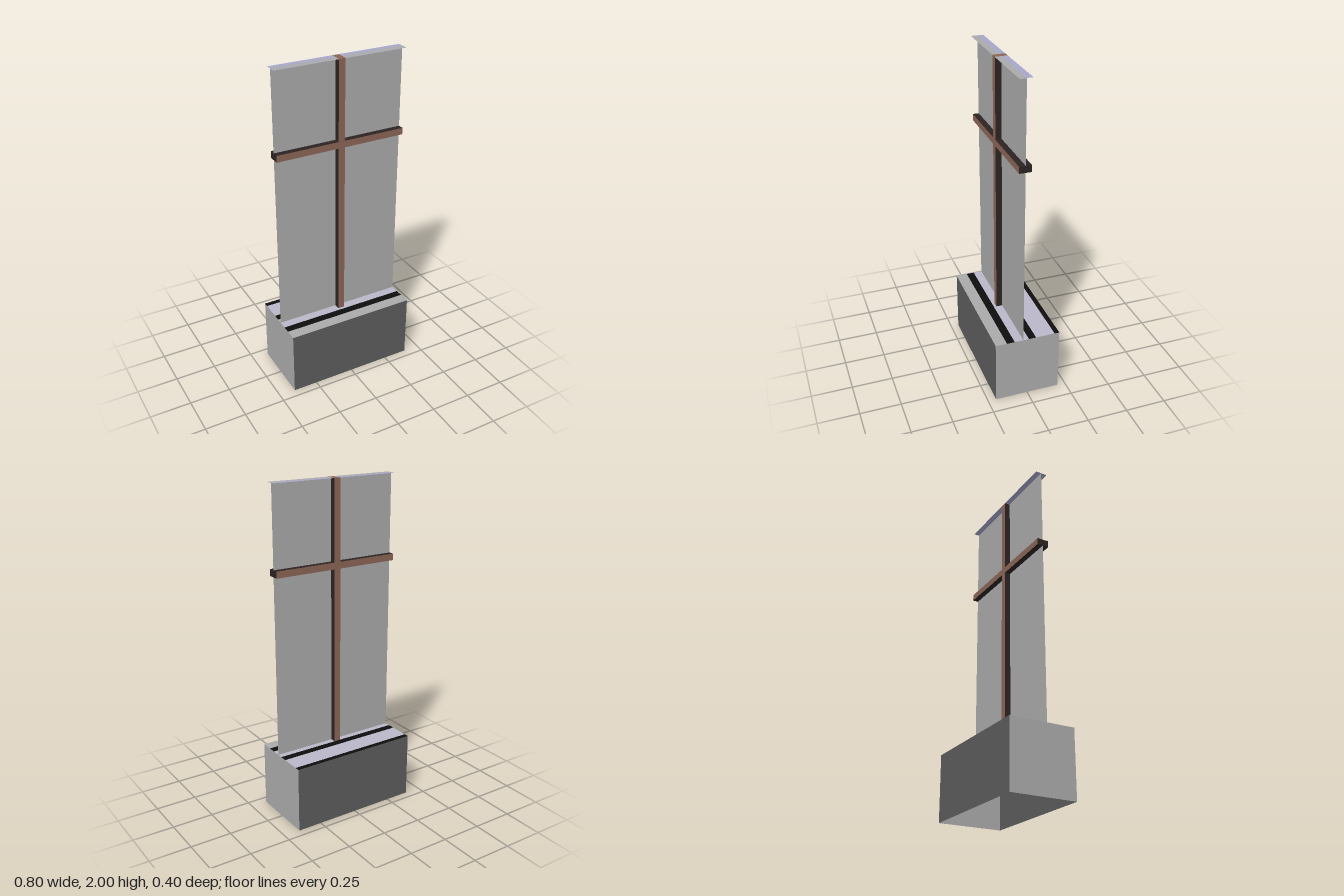
import * as THREE from 'three';

const mat = (name, color, side = THREE.FrontSide) => {
  const m = new THREE.MeshStandardMaterial({ color, side });
  m.name = name;
  return m;
};

export function createModel() {
  const wall = mat('dark grey', 0x5c5c5c, THREE.DoubleSide);
  const grey = mat('light grey', 0xa9a9a9, THREE.DoubleSide);
  const lilac = mat('pale lilac', 0xb8b6c8, THREE.DoubleSide);
  const violet = mat('soft violet', 0xa6a6ca, THREE.DoubleSide);
  const black = mat('black', 0x0d0d0d, THREE.DoubleSide);
  const wood = mat('brown', 0x8b6455);
  const dark = mat('dark brown', 0x2a2322);

  const model = new THREE.Group();
  model.name = 'crossPanelOnPlinth';
  const add = (name, geometry, material, x, y, z, parent = model) => {
    const m = new THREE.Mesh(geometry, material);
    m.name = name;
    m.position.set(x, y, z);
    parent.add(m);
    return m;
  };
  // Horizontal sheet facing up, between two x and two z limits
  const sheet = (name, x0, x1, z0, z1, y, material, parent) =>
    add(name, new THREE.PlaneGeometry(x1 - x0, z1 - z0).rotateX(-Math.PI / 2),
      material, (x0 + x1) / 2, y, (z0 + z1) / 2, parent);

  // Plinth: four thin walls, open underneath
  const plinth = new THREE.Group();
  plinth.name = 'plinth';
  model.add(plinth);
  for (const s of [1, -1]) {
    const turn = s > 0 ? 0 : Math.PI;
    add(s > 0 ? 'frontWall' : 'backWall',
      new THREE.PlaneGeometry(0.8, 0.4).rotateY(turn), wall, 0, 0.2, s * 0.2, plinth);
    add(s > 0 ? 'leftWall' : 'rightWall',
      new THREE.PlaneGeometry(0.4, 0.4).rotateY(s * Math.PI / 2), grey, s * 0.4, 0.2, 0, plinth);
  }

  // Striped top of the plinth, from back to front
  const edges = [-0.2, -0.17, -0.052, -0.007, 0.082, 0.13, 0.2];
  [black, lilac, black, lilac, black, grey].forEach((m, i) =>
    sheet('topStripe' + (i + 1), -0.4, 0.4, edges[i], edges[i + 1], 0.4, m, plinth));

  // Upright sheet that the cross runs through
  const zMid = 0.028;
  add('panel', new THREE.PlaneGeometry(0.8, 1.6), grey, 0, 1.2, zMid);

  // Narrow cap along the top edge, on both sides of the post
  const zBack = -0.007, zFront = 0.065, depth = zFront - zBack, zBar = (zBack + zFront) / 2;
  const cap = new THREE.Group();
  cap.name = 'cap';
  model.add(cap);
  for (const [x0, x1] of [[-0.4, -0.02], [0.02, 0.4]]) {
    sheet('capBack', x0, x1, zBack, zMid, 2, violet, cap);
    sheet('capFront', x0, x1, zMid, zFront, 2, grey, cap);
    sheet('capUnderside', x0, x1, zMid, zFront, 1.998, violet, cap);
  }

  // Cross: brown front and back, dark sides
  const cross = new THREE.Group();
  cross.name = 'cross';
  model.add(cross);
  add('post', new THREE.BoxGeometry(0.04, 1.6, depth),
    [dark, dark, wood, wood, wood, wood], 0, 1.2, zBar, cross);
  for (const s of [1, -1])
    add(s > 0 ? 'leftArm' : 'rightArm', new THREE.BoxGeometry(0.38, 0.04, depth),
      [dark, dark, dark, dark, wood, wood], s * 0.21, 1.505, zBar, cross);

  return model;
}
